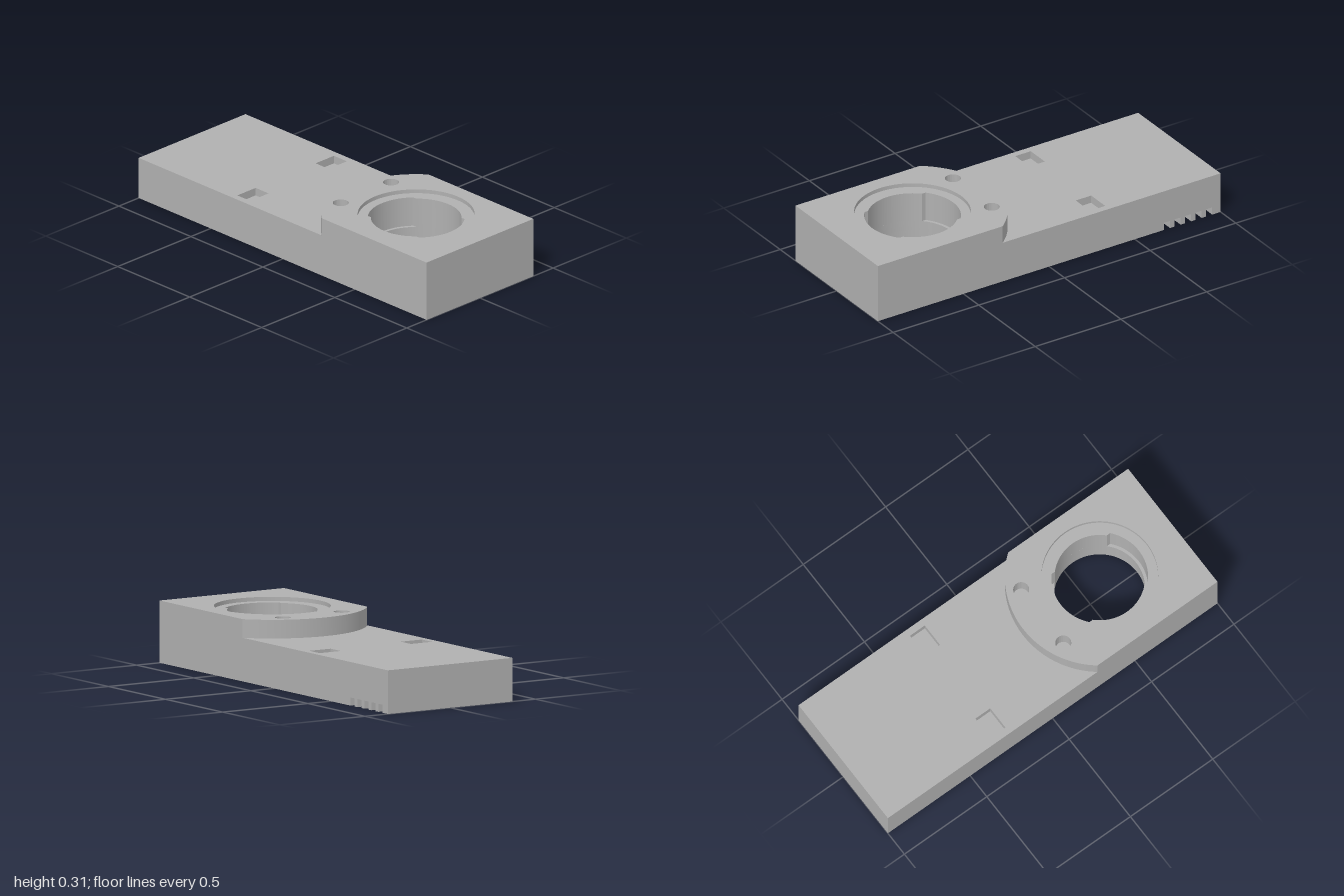
import * as THREE from 'three';
import { toCreasedNormals } from 'three/addons/utils/BufferGeometryUtils.js';

const W = 0.365;          // half width
const T = 0.065;          // skirt wall thickness
const CZ = 0.557;         // bore centre along z
const R = 0.285;          // barrel and recess radius
const CEIL = 0.075, DECK = 0.215, SEAT = 0.287, TOP = 0.307;

export function createModel() {
  const group = new THREE.Group();
  const gray = new THREE.MeshStandardMaterial({ color: 0xb0b0b0 });
  gray.name = 'plain gray';

  // Plan outlines use (x, -z); each is extruded upward from y0 to y1.
  const slab = (name, shape, y0, y1) => {
    const raw = new THREE.ExtrudeGeometry(shape, { depth: y1 - y0, bevelEnabled: false, curveSegments: 64 });
    raw.rotateX(-Math.PI / 2);
    raw.translate(0, y0, 0);
    const mesh = new THREE.Mesh(toCreasedNormals(raw, 0.4), gray);
    mesh.name = name;
    group.add(mesh);
  };
  const polygon = (pts) => new THREE.Shape(pts.map(([x, z]) => new THREE.Vector2(x, -z)));
  const rect = (x0, x1, z0, z1) => polygon([[x0, z1], [x1, z1], [x1, z0], [x0, z0]]);
  const circle = (x, z, r, Type = THREE.Path) => new Type().absarc(x, -z, r, 0, Math.PI * 2, false);
  const withHoles = (shape, ...holes) => {
    shape.holes.push(...holes);
    return shape;
  };

  // Skirt around the hollow underside, open along the grooved stretch
  const gapFront = -0.67, gapBack = -0.951, grooveH = 0.04;
  slab('lowerSkirt', polygon([
    [W, gapFront], [W, 1], [-W, 1], [-W, -1], [W, -1], [W, gapBack],
    [W - T, gapBack], [W - T, -1 + T], [-W + T, -1 + T],
    [-W + T, 1 - T], [W - T, 1 - T], [W - T, gapFront],
  ]), 0, grooveH);
  slab('upperSkirt', withHoles(rect(-W, W, -1, 1), rect(-W + T, W - T, -1 + T, 1 - T)), grooveH, CEIL);

  // Teeth between the five grooves
  const pitch = 0.0615, groove = 0.035;
  for (let i = 0; i < 4; i++) {
    const z = gapFront - groove - i * pitch;
    slab('grooveTooth', rect(W - T, W, z - (pitch - groove), z), 0, grooveH);
  }

  // Main plate, its upper layer pierced by two blind pockets
  const pocketFloor = 0.175;
  slab('plate', withHoles(rect(-W, W, -1, 1), circle(0, CZ, R)), CEIL, pocketFloor);
  slab('pocketedDeck', withHoles(rect(-W, W, -1, 1), circle(0, CZ, R),
    rect(0.205, 0.33, -0.35, -0.26), rect(-0.33, -0.205, -0.35, -0.26)), pocketFloor, DECK);

  // Raised pad with a curved back edge and two round holes
  const padR = 0.463, t = Math.acos(W / padR);
  const pad = new THREE.Shape();
  pad.moveTo(-W, -1);
  pad.lineTo(W, -1);
  pad.absarc(0, -CZ, padR, t, Math.PI - t, false);
  pad.closePath();
  slab('raisedPad', withHoles(pad, circle(0, CZ, R),
    circle(0.172, 0.208, 0.039), circle(-0.172, 0.208, 0.039)), DECK, TOP);

  // Barrel: wide mouth below, narrow collar, then a bore with front and back notches
  const disc = () => circle(0, CZ, R, THREE.Shape);
  slab('barrelMouth', withHoles(disc(), circle(0, CZ, 0.225)), 0, 0.08);
  slab('barrelCollar', withHoles(disc(), circle(0, CZ, 0.221)), 0.08, 0.135);
  const r = 0.221, rn = 0.236, half = 0.155;
  const a = Math.acos(half / r), b = Math.acos(half / rn);
  const bore = new THREE.Path();
  bore.absarc(0, -CZ, rn, b, Math.PI - b, false);
  bore.absarc(0, -CZ, r, Math.PI - a, Math.PI + a, false);
  bore.absarc(0, -CZ, rn, Math.PI + b, Math.PI * 2 - b, false);
  bore.absarc(0, -CZ, r, -a, a, false);
  bore.closePath();
  slab('notchedBarrel', withHoles(disc(), bore), 0.135, SEAT);

  return group;
}
